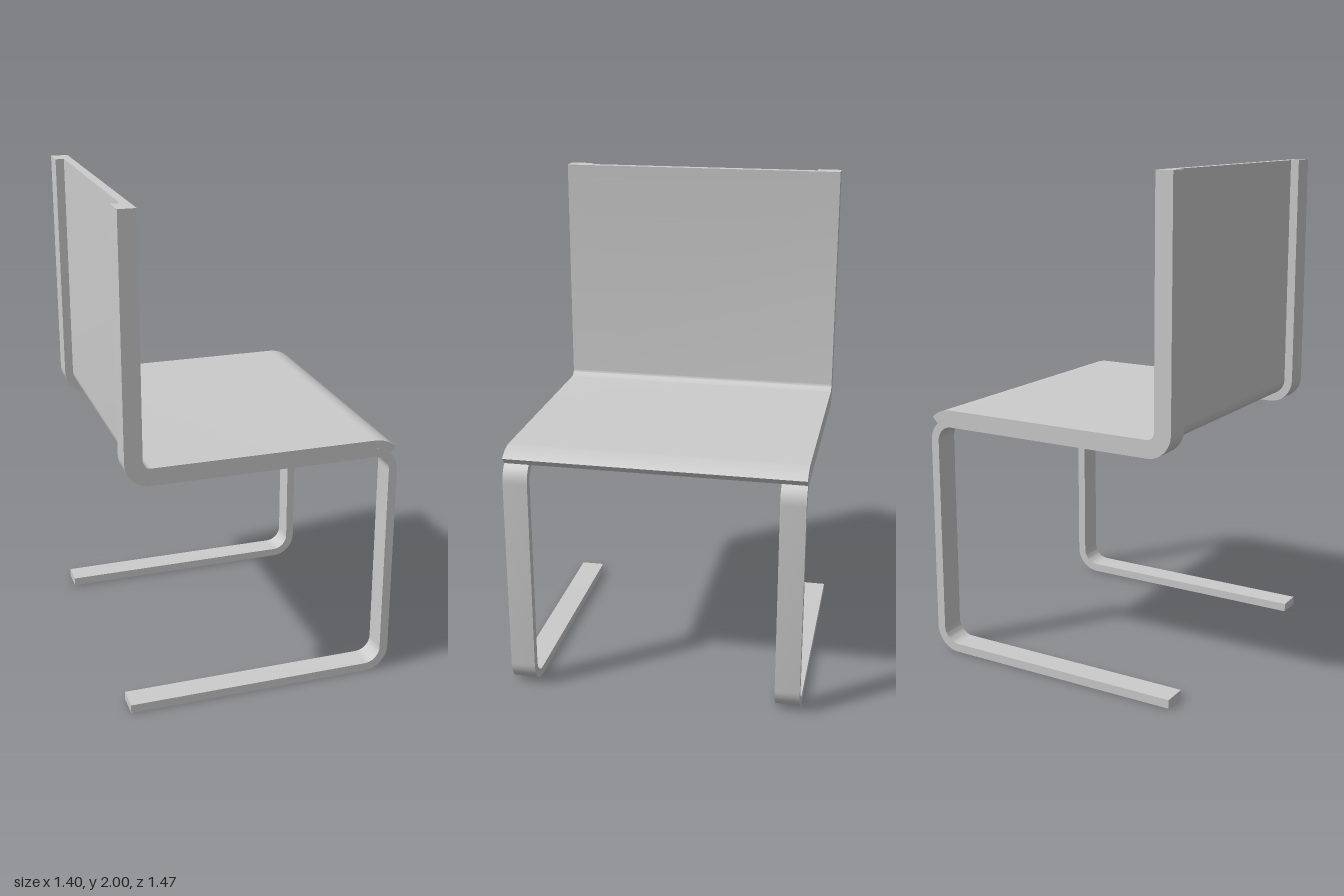
import * as THREE from 'three';
import { toCreasedNormals } from 'three/addons/utils/BufferGeometryUtils.js';

const T = 0.035;        // thickness of bars and panel
const HALF = 0.597;     // half of the chair's width
const BAR = 0.1;        // width of a frame bar
const material = new THREE.MeshStandardMaterial({ color: 0xcccccc });

// Bends of the line where panel and frame touch: centre, radius, angles (degrees)
const backBend = [-0.45, 1.065, 0.065, 180, 270];
const frontBend = [0.45, 0.9, 0.1, 90, 0];
const lowerBend = [0.45, 0.1, 0.1, 0, -90];
const panelLip = [0.45, 0.9, 0.1, 90, 48];

// Points of a side profile, moved sideways by d (positive towards the sitter)
function offsetLine(bends, d, tail) {
  const points = [new THREE.Vector2(-0.515 + d, 2)];
  for (const [cx, cy, r, a0, a1] of bends) {
    const radius = a1 > a0 ? r - d : r + d;
    for (let i = 0; i <= 12; i++) {
      const a = THREE.MathUtils.degToRad(a0 + (a1 - a0) * i / 12);
      points.push(new THREE.Vector2(cx + radius * Math.cos(a), cy + radius * Math.sin(a)));
    }
  }
  if (tail !== undefined) points.push(new THREE.Vector2(tail, -d));
  return points;
}

// Bent strip between two offsets, extruded across the chair from z
function bentStrip(name, bends, d0, d1, z, width, tail) {
  const outline = [...offsetLine(bends, d0, tail), ...offsetLine(bends, d1, tail).reverse()];
  const geometry = new THREE.ExtrudeGeometry(new THREE.Shape(outline), { depth: width, bevelEnabled: false });
  geometry.translate(0, 0, z);
  const mesh = new THREE.Mesh(toCreasedNormals(geometry, 0.6), material);
  mesh.name = name;
  return mesh;
}

export function createModel() {
  const chair = new THREE.Group();
  chair.name = 'cantileverChair';

  // One-piece seat and backrest with a rounded front lip
  chair.add(bentStrip('seatAndBackrest', [backBend, panelLip], 0, T, -HALF, 2 * HALF));

  // Side frames: back post, seat rail, front leg and floor runner in one bar
  const bends = [backBend, frontBend, lowerBend];
  // the touching line is the outer side of the leg and runner
  chair.add(bentStrip('leftSideFrame', bends, -T, 0, -HALF, BAR, -0.55));
  chair.add(bentStrip('rightSideFrame', bends, -T, 0, HALF - BAR, BAR, -0.55));

  // Cross rail under the seat
  const rail = new THREE.Mesh(new THREE.BoxGeometry(BAR, T, 2 * (HALF - BAR)), material);
  rail.name = 'crossRail';
  rail.position.set(-0.05, 1 - T / 2, 0);
  chair.add(rail);

  // The chair stands turned on the floor
  chair.rotation.y = 0.3;
  const model = new THREE.Group();
  model.add(chair);
  return model;
}
